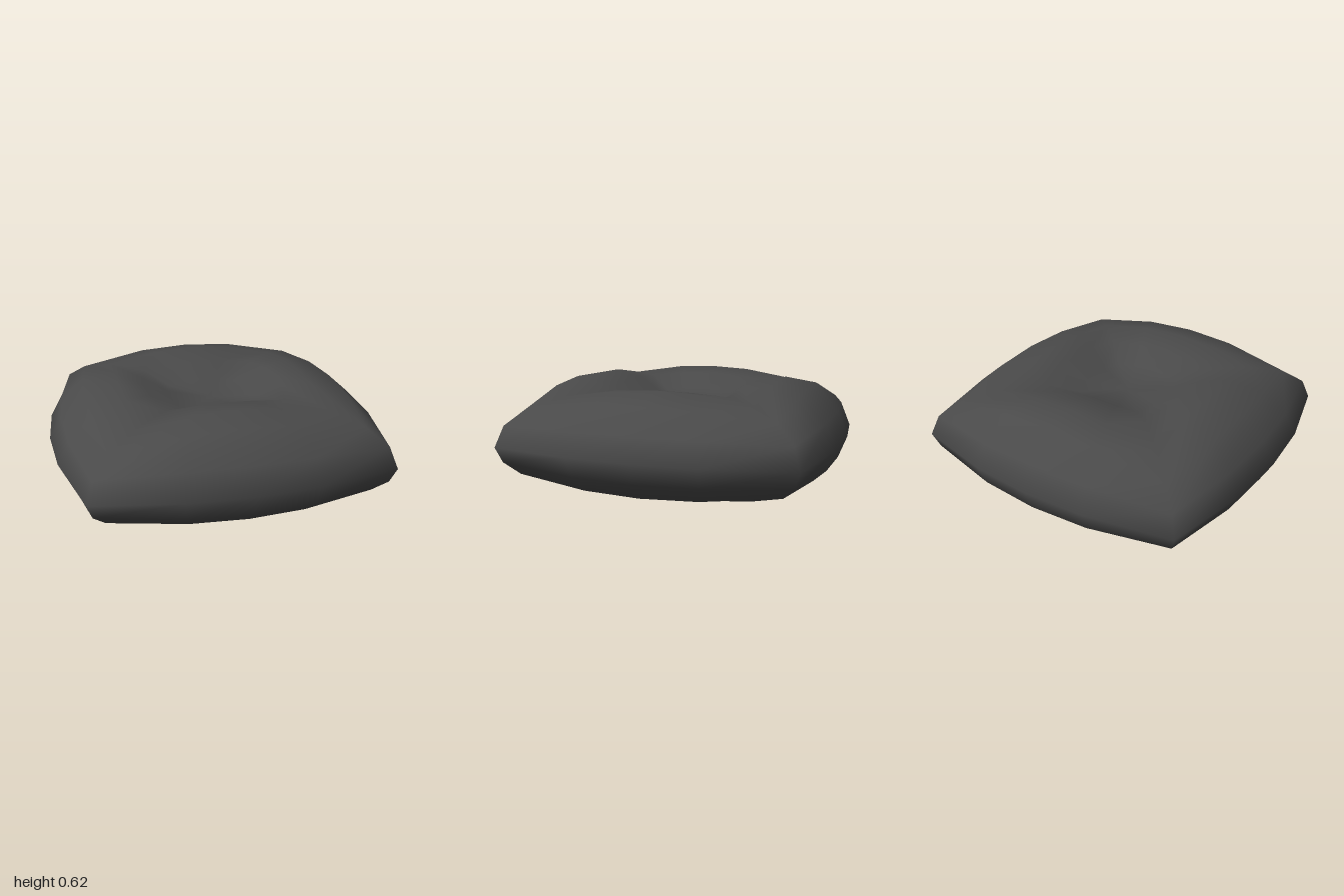
import * as THREE from 'three';
import { mergeVertices } from 'three/addons/utils/BufferGeometryUtils.js';

// Rings from the underside, round the rim and down into the dent on top:
// [half width in x, half depth in z, corner reach, y at x sides, y at z sides, y at corners]
const RINGS = [
  [0, 0, 0, 0, 0, 0],
  [0.44, 0.4, 0.4, 0, 0, 0],
  [0.63, 0.56, 0.56, 0.01, 0.003, 0.025],
  [0.84, 0.87, 0.76, 0.07, 0.1, 0.12],
  [0.93, 0.945, 0.83, 0.17, 0.17, 0.2],
  [1.0, 0.995, 0.86, 0.3, 0.3, 0.29],
  [0.925, 0.935, 0.82, 0.425, 0.45, 0.41],
  [0.78, 0.76, 0.72, 0.555, 0.585, 0.495],
  [0.57, 0.58, 0.56, 0.612, 0.619, 0.55],
  [0.41, 0.38, 0.36, 0.585, 0.585, 0.56],
  [0.26, 0.25, 0.22, 0.505, 0.505, 0.49],
  [0, 0, 0, 0.475, 0.475, 0.475],
];
const STEPS = [-1, -0.43, 0, 0.43]; // points along each bowed side

function cushionGeometry() {
  const positions = [];
  const index = [];
  const count = STEPS.length * 4;
  for (const [halfX, halfZ, corner, yX, yZ, yCorner] of RINGS) {
    for (let side = 0; side < 4; side++) {
      const facesZ = side % 2 === 0;
      for (const t of STEPS) {
        const bow = 1 - t * t;
        const along = t * corner;
        const out = THREE.MathUtils.lerp(corner, facesZ ? halfZ : halfX, bow);
        const y = THREE.MathUtils.lerp(yCorner, facesZ ? yZ : yX, bow);
        const [x, z] = [[along, out], [out, -along], [-along, -out], [-out, along]][side];
        positions.push(x, y, z);
      }
    }
  }
  for (let r = 0; r < RINGS.length - 1; r++) {
    for (let i = 0; i < count; i++) {
      const a = r * count + i;
      const b = r * count + (i + 1) % count;
      const c = b + count;
      const d = a + count;
      if (r > 0) index.push(a, b, c);
      if (r < RINGS.length - 2) index.push(a, c, d);
      else index.push();
      if (r === 0) continue;
    }
  }
  const geometry = new THREE.BufferGeometry();
  geometry.setAttribute('position', new THREE.Float32BufferAttribute(positions, 3));
  geometry.setIndex(index);
  // Weld the points at the centre of the top and underside
  const welded = mergeVertices(geometry);
  welded.computeVertexNormals();
  return welded;
}

export function createModel() {
  const group = new THREE.Group();
  group.name = 'floorCushion';

  // Soft square cushion with a hollow in the top
  const cushion = new THREE.Mesh(
    cushionGeometry(),
    new THREE.MeshStandardMaterial({ color: 0x4a4a4a }),
  );
  cushion.name = 'cushion';
  group.add(cushion);
  return group;
}
